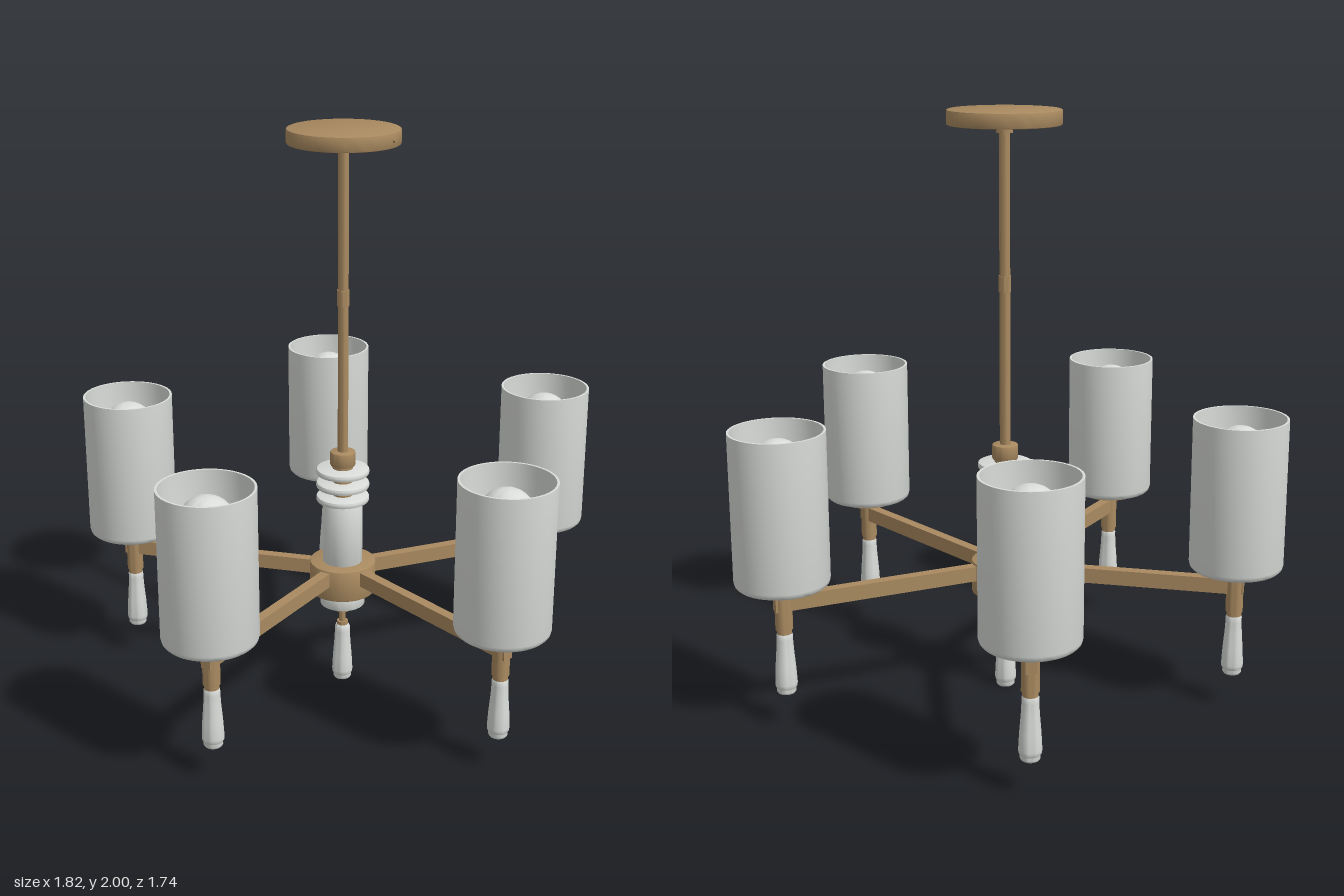
import * as THREE from 'three';
import { toCreasedNormals } from 'three/addons/utils/BufferGeometryUtils.js';

const brass = new THREE.MeshStandardMaterial({ name: 'brass', color: 0xa98a60 });
const glass = new THREE.MeshStandardMaterial({ name: 'pale glass', color: 0xd9dcd8 });

// Revolve a [radius, height] outline, running from the bottom axis to the top axis
function turned(name, material, points, segments = 40) {
  const profile = points.map(([r, y]) => new THREE.Vector2(r, y));
  const geometry = toCreasedNormals(new THREE.LatheGeometry(profile, segments), 0.6);
  const mesh = new THREE.Mesh(geometry, material);
  mesh.name = name;
  return mesh;
}

// Plain disc or rod between two heights
const disc = (name, material, r, y0, y1, segments) =>
  turned(name, material, [[0, y0], [r, y0], [r, y1], [0, y1]], segments);

// Disc with softened edges
const softDisc = (name, material, r, y0, y1, b) => turned(name, material, [
  [0, y0], [r - b, y0], [r - b * 0.3, y0 + b * 0.3], [r, y0 + b],
  [r, y1 - b], [r - b * 0.3, y1 - b * 0.3], [r - b, y1], [0, y1]]);

// Hanging glass drop, 0.22 tall, standing on height y
function drop(name, y) {
  return turned(name, glass, [
    [0, 0], [0.028, 0], [0.032, 0.006], [0.032, 0.018], [0.036, 0.024], [0.037, 0.035],
    [0.034, 0.09], [0.029, 0.15], [0.027, 0.19], [0.027, 0.205], [0.022, 0.215], [0, 0.215],
  ].map(([r, h]) => [r, h + y]), 24);
}

// One arm reaching along +z with its lamp
function createArm() {
  const arm = new THREE.Group();
  const reach = 0.79;

  const bar = new THREE.Mesh(new THREE.BoxGeometry(0.036, 0.052, 0.72), brass);
  bar.name = 'armBar';
  bar.position.set(0, 0.436, 0.46);
  arm.add(bar);

  const lamp = new THREE.Group();
  lamp.name = 'lamp';
  lamp.position.z = reach;
  lamp.add(
    drop('lampDrop', 0.12),
    disc('dropCap', brass, 0.025, 0.33, 0.35, 24),
    disc('lampStem', brass, 0.029, 0.345, 0.485, 24),
    disc('shadePlate', brass, 0.1, 0.484, 0.502),
    // Open-topped cup with a rounded foot
    turned('shade', glass, [
      [0, 0.5], [0.138, 0.5], [0.147, 0.503], [0.154, 0.51], [0.157, 0.522],
      [0.157, 1.02], [0.149, 1.02], [0.149, 0.525], [0.145, 0.514], [0.136, 0.51], [0, 0.51]], 48),
    disc('socket', brass, 0.04, 0.508, 0.64, 24),
  );

  // Bulb: narrow neck flowing into a globe
  const r = 0.092, cy = 0.9;
  const outline = [[0, 0.63], [0.036, 0.63], [0.038, 0.7], [0.046, 0.755], [0.06, 0.805]];
  for (let i = 0; i <= 12; i++) {
    const a = THREE.MathUtils.lerp(-0.65, Math.PI / 2, i / 12);
    outline.push([Math.max(0, r * Math.cos(a)), cy + r * Math.sin(a)]);
  }
  lamp.add(turned('bulb', glass, outline, 32));
  arm.add(lamp);
  return arm;
}

export function createModel() {
  const model = new THREE.Group();
  model.name = 'chandelier';
  const body = new THREE.Group();
  body.name = 'body';
  body.position.z = -0.075;
  model.add(body);

  // Ceiling mount and rod
  body.add(
    softDisc('canopy', brass, 0.188, 1.95, 2, 0.005),
    disc('canopyCollar', brass, 0.028, 1.925, 1.952, 24),
    disc('rod', brass, 0.018, 0.85, 1.94, 24),
    disc('rodCoupling', brass, 0.0205, 1.405, 1.46, 24),
  );
  const screw = disc('canopyScrew', brass, 0.007, 0.18, 0.195, 12);
  screw.rotation.z = -Math.PI / 2;
  screw.position.y = 1.975;
  body.add(screw);

  // Central column
  body.add(
    softDisc('columnCap', brass, 0.044, 0.83, 0.883, 0.005),
    disc('columnNeck', brass, 0.036, 0.68, 0.835, 32),
    softDisc('column', glass, 0.07, 0.46, 0.695, 0.006),
    softDisc('hub', brass, 0.117, 0.355, 0.47, 0.006),
    softDisc('lowerCup', glass, 0.08, 0.3, 0.36, 0.006),
    disc('lowerNut', brass, 0.025, 0.27, 0.302, 24),
    disc('lowerPin', brass, 0.012, 0.21, 0.275, 16),
    disc('lowerDropCap', brass, 0.02, 0.212, 0.228, 20),
    drop('lowerDrop', 0),
  );
  for (const y of [0.71, 0.76, 0.81]) {
    body.add(softDisc('columnRing', glass, 0.093, y - 0.011, y + 0.011, 0.007));
  }

  // Five arms around the hub, one facing the front
  for (let i = 0; i < 5; i++) {
    const arm = createArm();
    arm.name = `arm${i + 1}`;
    arm.rotation.y = (i * Math.PI * 2) / 5;
    body.add(arm);
  }
  return model;
}
